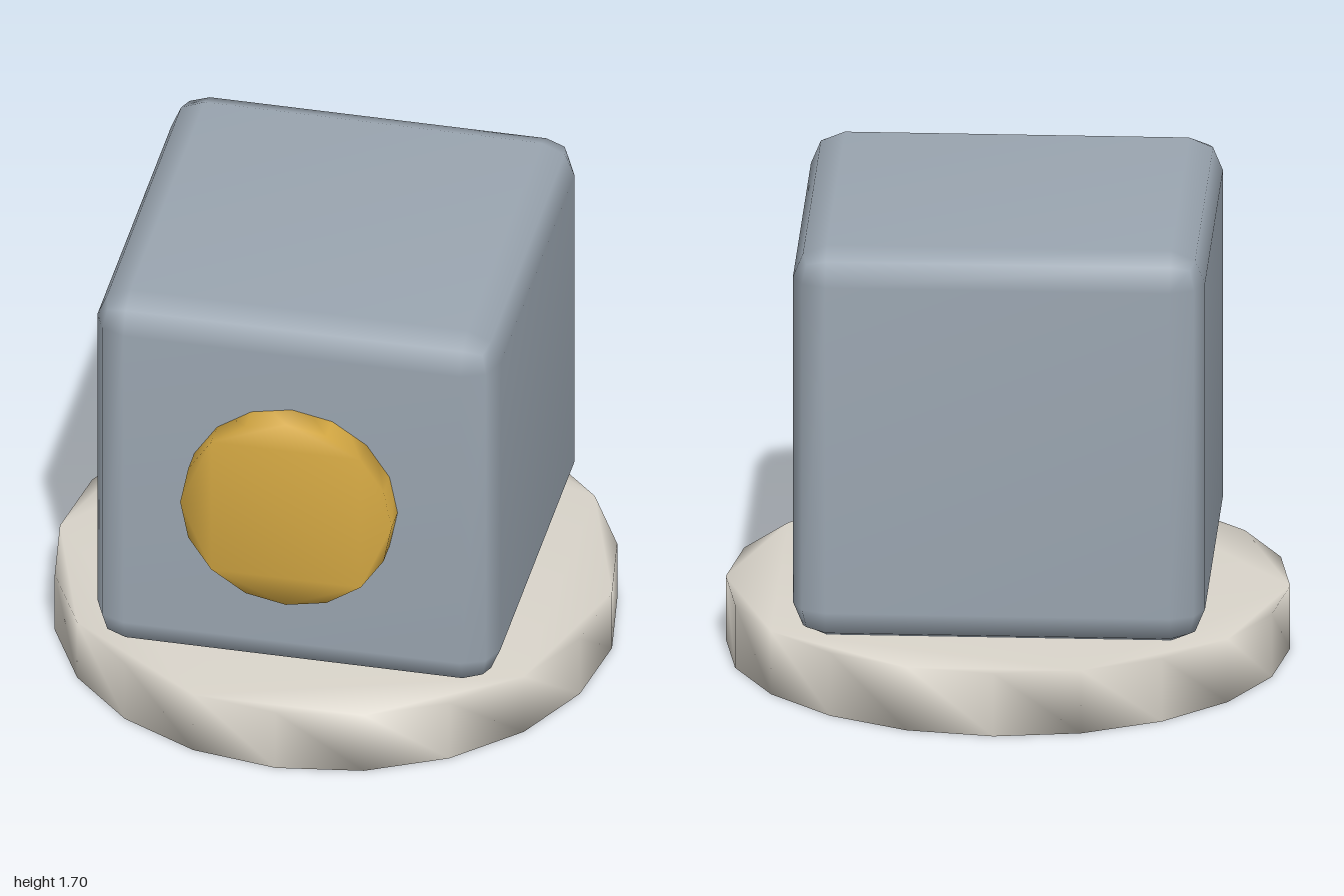
import * as THREE from 'three';
import { mergeVertices } from 'three/addons/utils/BufferGeometryUtils.js';
import { RoundedBoxGeometry } from 'three/addons/geometries/RoundedBoxGeometry.js';

// Weld all corners so shading runs smoothly over the edges
function smooth(geometry) {
  geometry.deleteAttribute('normal');
  geometry.deleteAttribute('uv');
  geometry.clearGroups();
  const welded = mergeVertices(geometry);
  welded.computeVertexNormals();
  return welded;
}

// Many-sided disc, its axis along z from 0 to depth
function disc(radius, depth, sides) {
  const points = [];
  for (let i = 0; i < sides; i++) {
    const a = (i / sides) * Math.PI * 2;
    points.push(new THREE.Vector2(Math.cos(a) * radius, Math.sin(a) * radius));
  }
  return smooth(new THREE.ExtrudeGeometry(new THREE.Shape(points), { depth, bevelEnabled: false }));
}

function addPart(group, name, geometry, material, x, y, z) {
  const mesh = new THREE.Mesh(geometry, material);
  mesh.name = name;
  mesh.position.set(x, y, z);
  group.add(mesh);
  return mesh;
}

export function createModel() {
  const stone = new THREE.MeshStandardMaterial({ color: 0xd9d4ca });
  stone.name = 'pale stone';
  const grey = new THREE.MeshStandardMaterial({ color: 0x9aa5b0 });
  grey.name = 'blue grey';
  const gold = new THREE.MeshStandardMaterial({ color: 0xd4a843 });
  gold.name = 'gold';

  const model = new THREE.Group();
  model.name = 'cubeOnPlinth';

  // Round plinth, 20 sides
  addPart(model, 'plinth', disc(1, 0.235, 20), stone, 0, 0, 0).rotation.x = -Math.PI / 2;

  // Bevelled cube
  const cube = smooth(new RoundedBoxGeometry(1.46, 1.46, 1.46, 1, 0.12));
  addPart(model, 'cube', cube, grey, 0, 0.965, 0);

  // Round medallion on the front face, 16 sides
  addPart(model, 'medallion', disc(0.383, 0.195, 16), gold, 0, 0.965, 0.633);

  return model;
}
